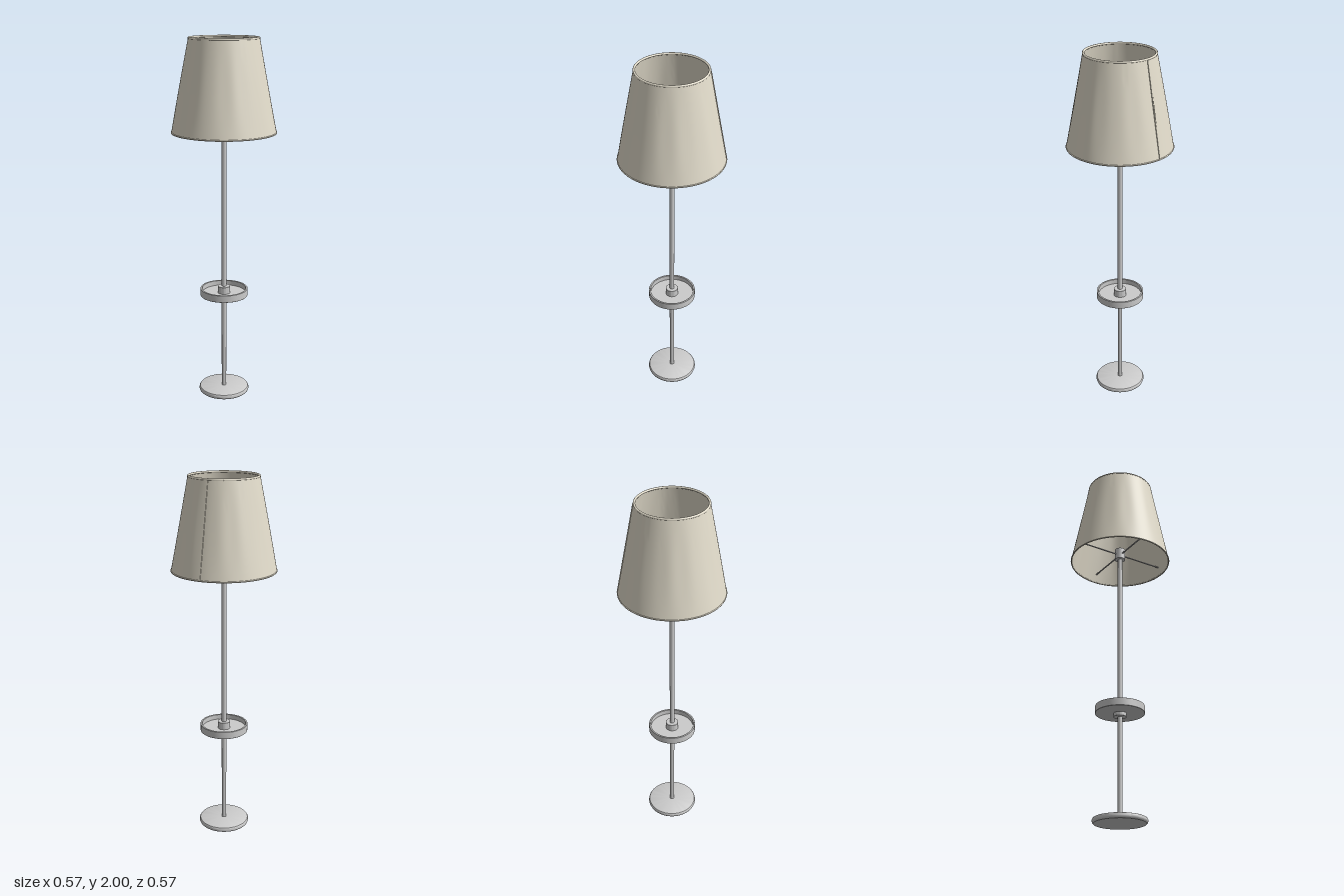
import * as THREE from 'three';
import { toCreasedNormals } from 'three/addons/utils/BufferGeometryUtils.js';

const metal = new THREE.MeshStandardMaterial({ color: 0xcccccc });
const fabric = new THREE.MeshStandardMaterial({ color: 0xe2dccb, side: THREE.DoubleSide });

const SHADE = { bottom: 1.5, top: 1.995, rBottom: 0.281, rTop: 0.186 };

function add(parent, name, geometry, material = metal) {
  const mesh = new THREE.Mesh(geometry, material);
  mesh.name = name;
  parent.add(mesh);
  return mesh;
}

// Revolved profile of [radius, height] pairs, outer side running upwards
function turned(profile, segments = 64) {
  const points = profile.map(([r, y]) => new THREE.Vector2(r, y));
  return toCreasedNormals(new THREE.LatheGeometry(points, segments), 0.6);
}

function rod(radius, from, to, segments = 24) {
  return new THREE.CylinderGeometry(radius, radius, to - from, segments).translate(0, (from + to) / 2, 0);
}

// Tapered fabric wall with soft irregular folds that fade out at both rims
function shadeWall() {
  const { bottom, top, rBottom, rTop } = SHADE;
  const rows = 12, outer = [], inner = [];
  for (let i = 0; i <= rows; i++) {
    const t = i / rows;
    const r = THREE.MathUtils.lerp(rBottom, rTop, t), y = THREE.MathUtils.lerp(bottom, top, t);
    outer.push(new THREE.Vector2(r, y));
    inner.unshift(new THREE.Vector2(r - 0.004, y));
  }
  const geometry = new THREE.LatheGeometry([...outer, ...inner, outer[0].clone()], 128);
  const p = geometry.attributes.position;
  for (let i = 0; i < p.count; i++) {
    const x = p.getX(i), z = p.getZ(i), a = Math.atan2(z, x);
    const t = (p.getY(i) - bottom) / (top - bottom);
    const fold = Math.sin(a * 11) + 0.6 * Math.sin(a * 17 + 1.3) + 0.5 * Math.sin(a * 5 + 2);
    const s = 1 + 0.004 * fold * Math.sin(Math.PI * t);
    p.setX(i, x * s);
    p.setZ(i, z * s);
  }
  return toCreasedNormals(geometry, 0.7);
}

export function createModel() {
  const lamp = new THREE.Group();
  lamp.name = 'floorLamp';

  // Round foot with a softened edge, and the pole
  add(lamp, 'base', turned([
    [0, 0], [0.134, 0], [0.139, 0.004], [0.142, 0.012], [0.141, 0.02], [0.137, 0.026], [0.132, 0.028], [0, 0.028],
  ]));
  add(lamp, 'pole', rod(0.013, 0.02, 1.54));

  // Shallow tray with a raised lip, clamped by a collar
  add(lamp, 'tray', turned([
    [0, 0.582], [0.131, 0.582], [0.132, 0.583], [0.132, 0.622], [0.131, 0.623],
    [0.123, 0.623], [0.122, 0.622], [0.122, 0.595], [0, 0.595],
  ]));
  add(lamp, 'trayCollar', turned([
    [0, 0.562], [0.034, 0.562], [0.035, 0.563], [0.035, 0.634], [0.034, 0.635], [0, 0.635],
  ], 40));

  // Socket and the four arms that carry the shade
  add(lamp, 'socket', rod(0.029, 1.52, 1.585, 40));
  const arms = new THREE.Group();
  arms.name = 'shadeArms';
  lamp.add(arms);
  for (let i = 0; i < 4; i++) {
    const arm = add(arms, 'shadeArm', rod(0.004, 0.02, 0.268, 10).rotateZ(-Math.PI / 2));
    arm.position.y = 1.552;
    arm.rotation.y = Math.PI / 4 + i * Math.PI / 2;
  }

  // Shade wall with rolled rims
  const shade = new THREE.Group();
  shade.name = 'shade';
  lamp.add(shade);
  add(shade, 'shadeWall', shadeWall(), fabric);
  const ring = (r, tube, y) => new THREE.TorusGeometry(r, tube, 10, 96).rotateX(Math.PI / 2).translate(0, y, 0);
  add(shade, 'topRim', ring(0.182, 0.006, 1.994), fabric);
  add(shade, 'bottomRim', ring(0.279, 0.004, 1.504), fabric);

  // Sewn seam running down the slanted wall
  const drop = SHADE.top - SHADE.bottom, inset = SHADE.rBottom - SHADE.rTop;
  const seam = add(shade, 'seam', new THREE.BoxGeometry(0.005, Math.hypot(drop, inset) - 0.01, 0.007)
    .rotateZ(Math.atan2(inset, drop))
    .translate((SHADE.rBottom + SHADE.rTop) / 2 + 0.001, (SHADE.bottom + SHADE.top) / 2, 0), fabric);
  seam.rotation.y = 0.668;

  return lamp;
}
